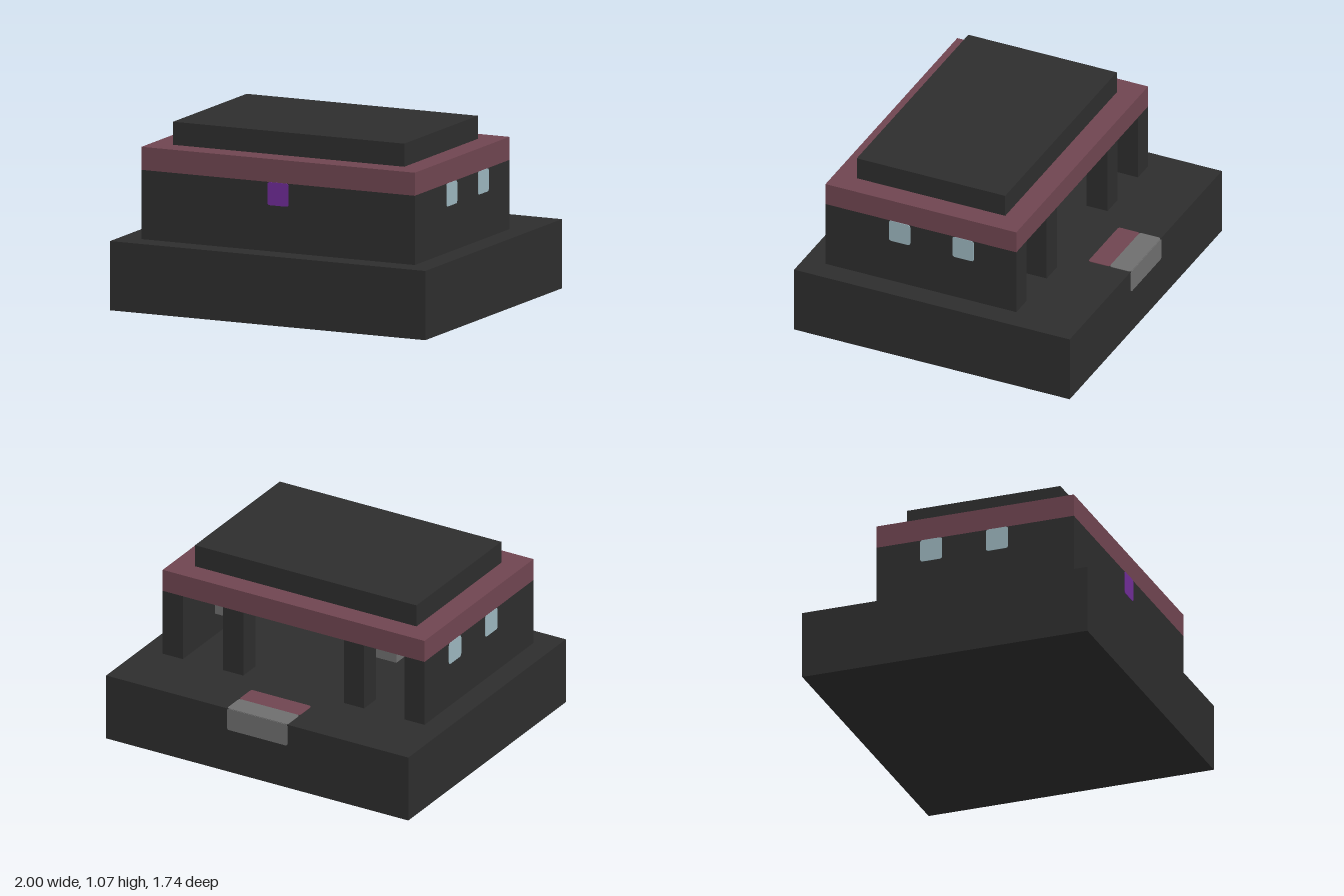
import * as THREE from 'three';

const U = 2 / 15; // building module
const mat = (name, color) => {
  const m = new THREE.MeshStandardMaterial({ color });
  m.name = name;
  return m;
};

export function createModel() {
  const model = new THREE.Group();
  model.name = 'pavilion';
  const stone = mat('dark stone', 0x2d2d2d);
  const red = mat('dusty red', 0x6f4550);
  const glass = mat('pale blue glass', 0x9bb5bd);
  const purple = mat('purple', 0x6f2c96);
  const grey = mat('grey stone', 0x6e6e6e);

  // box given by its ranges, in modules
  const box = (name, m, x0, x1, y0, y1, z0, z1) => {
    const mesh = new THREE.Mesh(new THREE.BoxGeometry((x1 - x0) * U, (y1 - y0) * U, (z1 - z0) * U), m);
    mesh.position.set((x0 + x1) / 2 * U, (y0 + y1) / 2 * U, (z0 + z1) / 2 * U);
    mesh.name = name;
    model.add(mesh);
  };

  // thin plate with rounded corners, centred at a position and facing local +z
  const plate = (name, m, w, h, pos, rx, ry) => {
    const a = w * U / 2, b = h * U / 2, r = 0.016;
    const s = new THREE.Shape();
    s.moveTo(-a + r, -b);
    s.lineTo(a - r, -b);
    s.quadraticCurveTo(a, -b, a, -b + r);
    s.lineTo(a, b - r);
    s.quadraticCurveTo(a, b, a - r, b);
    s.lineTo(-a + r, b);
    s.quadraticCurveTo(-a, b, -a, b - r);
    s.lineTo(-a, -b + r);
    s.quadraticCurveTo(-a, -b, -a + r, -b);
    const g = new THREE.ExtrudeGeometry(s, { depth: 0.003, bevelEnabled: false, curveSegments: 4 });
    const mesh = new THREE.Mesh(g, m);
    mesh.position.set(...pos.map(v => v * U));
    mesh.rotation.set(rx, ry, 0);
    mesh.name = name;
    model.add(mesh);
  };

  // base, front wall and stepped roof
  box('base', stone, -7.5, 7.5, 0, 3, -6.5, 6.5);
  box('frontWall', stone, -6.5, 6.5, 3, 6, 4.5, 5.5);
  box('roofBand', red, -6.5, 6.5, 6, 7, -3.5, 5.5);
  box('roofTop', stone, -5.5, 5.5, 7, 8, -2.5, 4.5);

  // side walls with windows, rear columns and hanging blocks
  for (const s of [-1, 1]) {
    const span = (a, b) => (s > 0 ? [a, b] : [-b, -a]);
    box('sideWall', stone, ...span(5.5, 6.5), 3, 6, -3.5, 4.5);
    box('rearColumn', stone, ...span(2.5, 3.5), 3, 6, -3.5, -2.5);
    box('hangingBlock', grey, ...span(3.5, 4.5), 5, 6, -2.5, -1.5);
    for (const z of [-1, 2]) {
      plate('window', glass, 1, 1, [s * 6.5, 5.5, z], 0, s * Math.PI / 2);
      plate('windowInside', glass, 1, 1, [s * 5.5, 5.5, z], 0, -s * Math.PI / 2);
    }
  }

  // purple panel over the front, seen from both sides of the wall
  plate('frontPanel', purple, 1, 1, [0, 5.5, 5.5], 0, 0);
  plate('frontPanelInside', purple, 1, 1, [0, 5.5, 4.5], 0, Math.PI);

  // rear doorstep and red mat
  plate('doorstepTop', grey, 3, 1, [0, 3, -6], -Math.PI / 2, 0);
  plate('doorstepFace', grey, 3, 1, [0, 2.5, -6.5], 0, Math.PI);
  plate('doorMat', red, 3, 1, [0, 3, -5], -Math.PI / 2, 0);

  return model;
}
